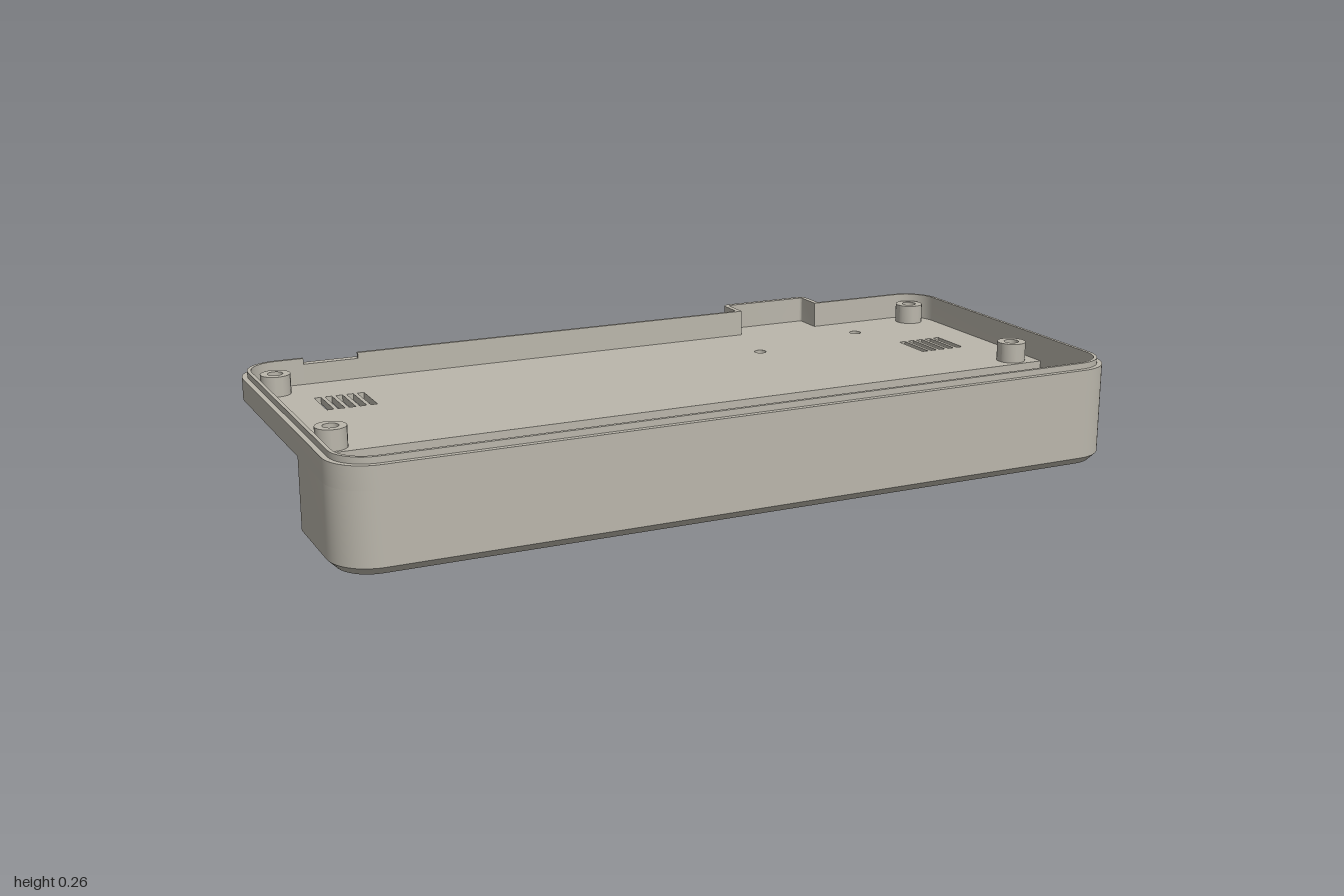
import * as THREE from 'three';
import { mergeGeometries, toCreasedNormals } from 'three/addons/utils/BufferGeometryUtils.js';

const TRAY_BOTTOM = 0.178, EDGE = 0.192, FLOOR = 0.195, SHOULDER = 0.247, TOP = 0.262;
const WALL = 0.022;

// Arc points [x, z] from angle a0 to a1 in degrees
function arc(cx, cz, r, a0, a1, n = 10) {
  return Array.from({ length: n + 1 }, (_, i) => {
    const a = THREE.MathUtils.degToRad(a0 + ((a1 - a0) * i) / n);
    return [cx + r * Math.cos(a), cz + r * Math.sin(a)];
  });
}

// Rounded front corners, inset by d
const frontCorners = (d) => [...arc(0.9, 0.39, 0.1 - d, 0, 90), ...arc(-0.9, 0.39, 0.1 - d, 90, 180)];

// Rear edge with rounded corners, wall notch and connector tab (tab inset by t)
function rearEdge(d, t) {
  const z = -0.42 + d;
  return [
    ...arc(-0.9, -0.32, 0.1 - d, 180, 270),
    [-0.83, z], [-0.83, z, true], [-0.69, z, true], [-0.69, z],
    [0.39 + t, z],
    ...arc(0.41, -0.47, 0.02 - t, 180, 270, 5),
    ...arc(0.63, -0.47, 0.02 - t, 270, 360, 5),
    [0.65 - t, z],
    ...arc(0.9, -0.32, 0.1 - d, 270, 360),
  ];
}

const caseOutline = (d, t = d) => [...frontCorners(d), ...rearEdge(d, t)];
const trayOutline = (d) => [[1 - d, 0.2], [-1 + d, 0.2], ...rearEdge(d, d)];

// Deep compartment outline with screwdriver channels in its rear wall
function compartmentOutline(d) {
  const z = 0.185 + d;
  const channel = (x) => arc(x, 0.155, 0.04, 131.4, 48.6, 8).map((p) => [p[0], Math.max(p[1], z)]);
  return [...frontCorners(d), [-1 + d, z], ...channel(-0.915), ...channel(0.915), [1 - d, z]];
}

const at = (pts, y) => pts.map((p) => [p[0], y, p[1]]);
const lipAt = (pts) => pts.map((p) => [p[0], p[2] ? SHOULDER : TOP, p[1]]);

// Skin between successive closed rings; upward faces out, downward faces in
function loft(rings) {
  const pos = [];
  for (let k = 0; k < rings.length - 1; k++) {
    const lo = rings[k], hi = rings[k + 1];
    lo.forEach((a, i) => {
      const j = (i + 1) % lo.length;
      pos.push(...a, ...hi[i], ...hi[j], ...a, ...hi[j], ...lo[j]);
    });
  }
  const g = new THREE.BufferGeometry();
  g.setAttribute('position', new THREE.Float32BufferAttribute(pos, 3));
  return g;
}

// Flat horizontal face with holes
function cap(pts, y, up, holes = []) {
  const vec = (list) => list.map((p) => new THREE.Vector2(p[0], p[1]));
  const shape = new THREE.Shape(vec(pts));
  shape.holes = holes.map((h) => new THREE.Path(vec(h)));
  const g = new THREE.ShapeGeometry(shape).rotateX(Math.PI / 2).translate(0, y, 0);
  if (up) g.index.array.reverse();
  return g;
}

function part(name, material, geometries) {
  const sharp = geometries.map((g) => {
    g.deleteAttribute('uv');
    return toCreasedNormals(g, 0.5);
  });
  const mesh = new THREE.Mesh(mergeGeometries(sharp), material);
  mesh.name = name;
  return mesh;
}

export function createModel() {
  const model = new THREE.Group();
  model.name = 'deviceCaseBottom';
  const plastic = new THREE.MeshStandardMaterial({ color: 0xbab6ab });
  plastic.name = 'warm grey plastic';

  // Rim wall with stepped lip
  const outer = caseOutline(0), lip = caseOutline(0.013, 0), inner = caseOutline(WALL, 0.014);
  model.add(part('rimWall', plastic, [loft([
    at(outer, EDGE), at(outer, SHOULDER), at(lip, SHOULDER), lipAt(lip), lipAt(inner), at(inner, FLOOR),
  ])]));

  // Openings in the tray: screw holes, pin holes and two vents
  const screws = [[-0.915, -0.345], [0.915, -0.345], [-0.915, 0.155], [0.915, 0.155]];
  const holes = screws.map(([x, z]) => arc(x, z, 0.03, 0, 345, 23));
  for (const [x, z] of [[0.361, -0.206], [0.703, -0.286]]) holes.push(arc(x, z, 0.016, 0, 337.5, 15));
  for (const [x0, z] of [[-0.834, -0.203], [0.763, -0.078]]) {
    for (let i = 0; i < 5; i++) {
      const x = x0 + i * 0.027, w = 0.0085, h = 0.058;
      holes.push([[x + w, z - h], [x + w, z + h], [x - w, z + h], [x - w, z - h]]);
    }
  }

  // Shallow tray floor with chamfered underside
  model.add(part('trayFloor', plastic, [
    loft([at(trayOutline(0.013), TRAY_BOTTOM), at(trayOutline(0), EDGE)]),
    loft([[[-0.98, EDGE, 0.2], [0.98, EDGE, 0.2]], [[-0.98, FLOOR, 0.2], [0.98, FLOOR, 0.2]]]),
    cap(trayOutline(0.013), TRAY_BOTTOM, false, holes),
    cap(trayOutline(0.01), FLOOR, true, holes),
    ...holes.map((h) => loft([at(h, FLOOR), at(h, TRAY_BOTTOM)])),
  ]));

  // Deep front compartment
  const well = [...frontCorners(WALL), [-1 + WALL, 0.2], [1 - WALL, 0.2]];
  model.add(part('frontCompartment', plastic, [
    loft([at(compartmentOutline(0.02), 0), at(compartmentOutline(0), 0.02), at(compartmentOutline(0), EDGE)]),
    loft([at(well, FLOOR), at(well, 0.02)]),
    cap(compartmentOutline(0.02), 0, false),
    cap(well, 0.02, true),
  ]));

  // Hollow screw posts
  const profile = [[0.037, FLOOR], [0.037, 0.245], [0.019, 0.245], [0.019, 0.22], [0.03, 0.22], [0.03, TRAY_BOTTOM]]
    .map(([r, y]) => new THREE.Vector2(r, y));
  for (const [x, z] of screws) {
    const post = part('screwPost', plastic, [new THREE.LatheGeometry(profile, 24)]);
    post.position.set(x, 0, z);
    model.add(post);
  }
  return model;
}
